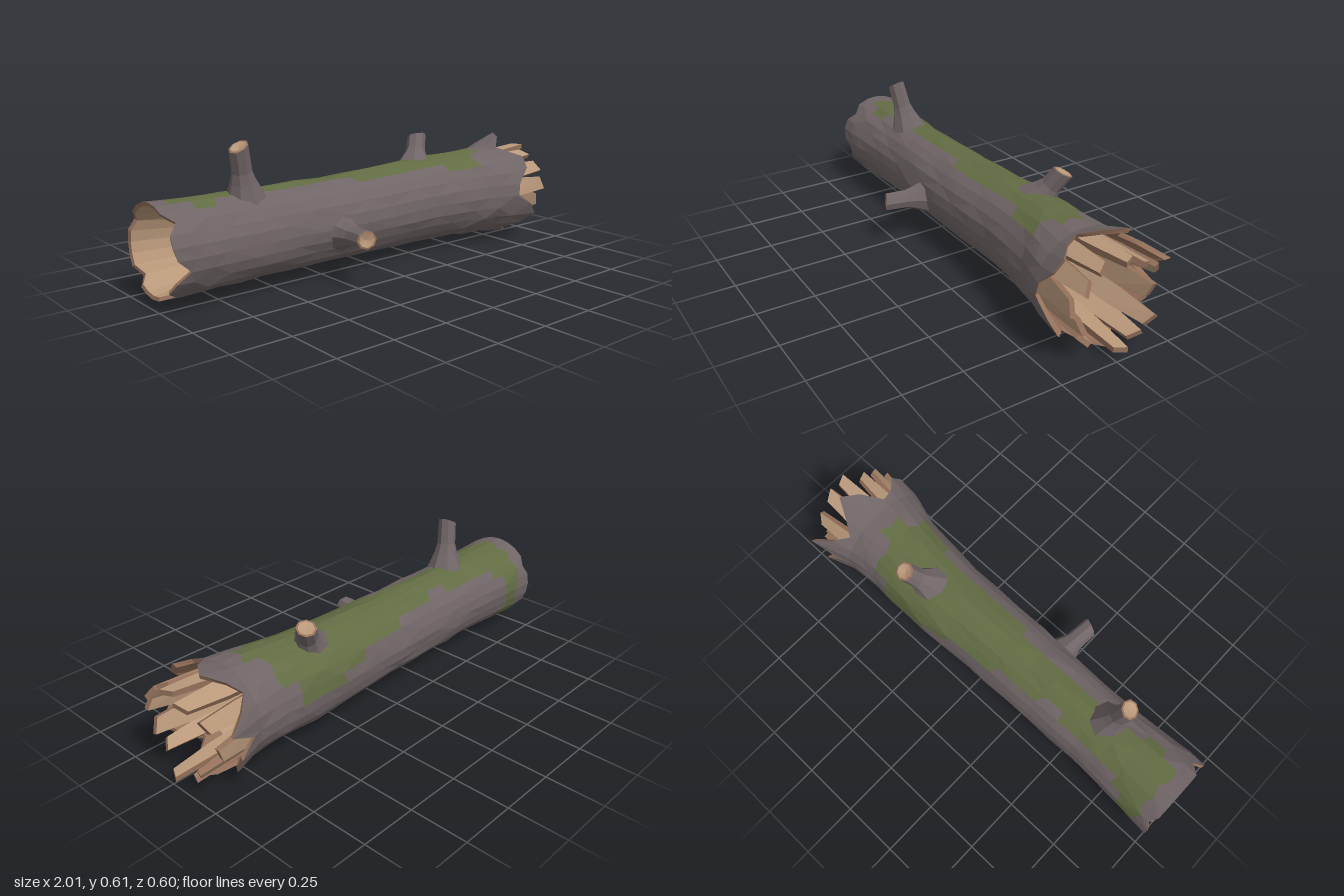
import * as THREE from 'three';

const mat = (name, color, extra = {}) => {
  const m = new THREE.MeshStandardMaterial({ color, flatShading: true, ...extra });
  m.name = name;
  return m;
};

const SIDES = 24;

// Log outline: x, top, bottom, back, front
const OUTLINE = [
  [-1, 0.42, 0.04, -0.24, 0.145], [-0.6, 0.405, 0.045, -0.208, 0.125],
  [0, 0.41, 0.045, -0.217, 0.13], [0.35, 0.425, 0.04, -0.238, 0.13],
  [0.6, 0.435, 0.03, -0.225, 0.16], [0.76, 0.44, 0.025, -0.24, 0.205],
  [0.92, 0.495, 0.0, -0.3, 0.235],
];

// Bark stations with the mossy angle range (degrees from the top, + toward the front)
// of the strip that starts there
const STATIONS = [
  [-0.92, -210, 20], [-0.84, -60, 30], [-0.76, -45, 15], [-0.66, -45, 0],
  [-0.56, -45, 15], [-0.45, -30, 15], [-0.33, -45, 15], [-0.2, -45, 20],
  [-0.08, -60, 30], [0.05, -60, 30], [0.18, -75, 30], [0.3, -90, 30],
  [0.42, -90, 45], [0.52, -60, 45], [0.6, -15, 15], [0.68, 0, 0], [0.75, 0, 0],
];

// Ragged ends: x of each bark edge point, counted from the top toward the front
const BROKEN_END = [
  0.86, 0.78, 0.80, 0.85, 0.84, 0.78, 0.77, 0.85, 0.90, 0.85, 0.78, 0.86,
  0.91, 0.86, 0.79, 0.85, 0.87, 0.88, 0.80, 0.93, 0.84, 0.78, 0.83, 0.91,
];
const LEFT_NOTCHES = { 3: -0.96, 6: -0.985, 7: -0.93, 8: -0.98, 10: -0.955, 15: -0.97, 20: -0.98 };

function seeded(seed) {
  return () => (seed = (seed * 16807) % 2147483647) / 2147483647;
}

function outlineAt(x) {
  let i = 0;
  while (i < OUTLINE.length - 2 && x > OUTLINE[i + 1][0]) i++;
  const a = OUTLINE[i], b = OUTLINE[i + 1];
  const t = Math.max(0, (x - a[0]) / (b[0] - a[0]));
  return a.map((v, k) => v + (b[k] - v) * t);
}

// Point on the log's skin, scaled toward its axis
function skinPoint(x, j, scale) {
  const [, top, bottom, back, front] = outlineAt(x);
  const a = (j / SIDES) * Math.PI * 2;
  return new THREE.Vector3(
    x,
    (top + bottom) / 2 + Math.cos(a) * scale * (top - bottom) / 2,
    (front + back) / 2 + Math.sin(a) * scale * (front - back) / 2
  );
}

function ring(xAt, scaleAt) {
  return Array.from({ length: SIDES }, (_, j) => skinPoint(xAt(j), j, scaleAt(j)));
}

function isMossy(j, lo, hi) {
  const mid = (j + 0.5) * 360 / SIDES;
  return [mid, mid - 360].some((d) => d > lo && d < hi);
}

// One continuous skin: left hollow, bark, right hollow; sorted into one mesh per colour
function buildTrunk(mats) {
  const rand = seeded(77);
  const rows = [];
  const add = (pts, pick) => rows.push({ pts, pick });
  const leftX = (j) => LEFT_NOTCHES[j] ?? -1;
  const fixed = (v) => () => v;

  add(ring(fixed(-0.6), fixed(0.001)), () => 'hollow');
  add(ring(fixed(-0.62), fixed(0.4)), () => 'hollow');
  add(ring(fixed(-0.7), fixed(0.72)), () => 'hollow');
  add(ring((j) => leftX(j) + 0.005, fixed(0.91)), () => 'brokenRims');
  add(ring(leftX, fixed(0.985)), () => 'bark');
  for (const [x, lo, hi] of STATIONS) {
    const pts = ring(
      () => x + (x < 0.7 ? (rand() - 0.5) * 0.04 : 0),
      () => 0.975 + rand() * 0.045
    );
    add(pts, (j) => (isMossy(j, lo, hi) ? 'moss' : 'bark'));
  }
  add(ring((j) => BROKEN_END[j], fixed(1)), () => 'brokenRims');
  add(ring((j) => BROKEN_END[j] - 0.008, fixed(0.92)), () => 'brokenRims');
  add(ring(fixed(0.72), fixed(0.87)), () => 'hollow');
  add(ring(fixed(0.55), fixed(0.72)), () => 'hollow');
  add(ring(fixed(0.48), fixed(0.38)), () => 'hollow');
  add(ring(fixed(0.47), fixed(0.001)), () => 'hollow');

  const tris = { bark: [], moss: [], hollow: [], brokenRims: [] };
  for (let i = 0; i < rows.length - 1; i++) {
    for (let j = 0; j < SIDES; j++) {
      const k = (j + 1) % SIDES;
      const a = rows[i].pts[j], d = rows[i].pts[k];
      const b = rows[i + 1].pts[j], c = rows[i + 1].pts[k];
      tris[rows[i].pick(j)].push(...((i + j) % 2 ? [a, d, c, a, c, b] : [a, d, b, d, c, b]));
    }
  }
  const trunk = new THREE.Group();
  trunk.name = 'trunk';
  for (const [name, pts] of Object.entries(tris)) {
    const geo = new THREE.BufferGeometry().setFromPoints(pts);
    geo.computeVertexNormals();
    const mesh = new THREE.Mesh(geo, mats[name]);
    mesh.name = name;
    trunk.add(mesh);
  }
  return trunk;
}

// Broken branch: flared bark stub with a cut wooden end
function buildBranch(name, from, to, radius, mats) {
  const a = new THREE.Vector3(...from), b = new THREE.Vector3(...to);
  const len = a.distanceTo(b);
  const lathe = (pts, m, part) => {
    const geo = new THREE.LatheGeometry(pts.map(([r, y]) => new THREE.Vector2(r, y)), 8);
    const p = geo.attributes.position;
    // slant the cut end a little
    for (let i = 0; i < p.count; i++) {
      if (p.getY(i) > len * 0.85) p.setY(i, p.getY(i) + p.getX(i) * 0.3);
    }
    geo.computeVertexNormals();
    const mesh = new THREE.Mesh(geo, m);
    mesh.name = part;
    return mesh;
  };
  const g = new THREE.Group();
  g.name = name;
  g.add(
    lathe([[radius * 2.2, 0], [radius * 1.35, len * 0.36], [radius * 1.05, len * 0.55], [radius, len]], mats.bark, 'branchBark'),
    lathe([[radius, len], [radius * 0.8, len + 0.002]], mats.brokenRims, 'branchRim'),
    lathe([[radius * 0.8, len + 0.002], [0, len - 0.008]], mats.hollow, 'branchEnd')
  );
  g.position.copy(a);
  g.quaternion.setFromUnitVectors(new THREE.Vector3(0, 1, 0), b.sub(a).normalize());
  return g;
}

// Splinter of inner wood, leaning outward and tapering to a blunt tip
function buildSplinter(angle, tipX, width, tipR, mats) {
  const geo = new THREE.BoxGeometry(1, 1, 1, 2, 1, 1);
  const p = geo.attributes.position;
  for (let i = 0; i < p.count; i++) {
    const t = p.getX(i) + 0.5;
    const w = width * (t > 0.9 ? 0.68 : 1);
    const thick = 0.034 - 0.012 * t;
    p.setXYZ(i, 0.62 + (tipX - 0.62) * t + (t > 0.9 ? p.getZ(i) * 0.025 : 0),
      0.15 + (tipR - 0.15) * t + p.getY(i) * thick, p.getZ(i) * w);
  }
  geo.computeVertexNormals();
  const { hollow: wood, brokenRims: dark } = mats;
  const mesh = new THREE.Mesh(geo, [dark, wood, wood, wood, dark, dark]);
  mesh.name = 'splinter';
  mesh.position.set(0, 0.23, -0.02);
  mesh.rotation.x = THREE.MathUtils.degToRad(angle);
  return mesh;
}

export function createModel() {
  const mats = {
    bark: mat('bark', 0x706566),
    moss: mat('moss', 0x626c43),
    hollow: mat('pale wood', 0xb9987a),
    brokenRims: mat('dark wood', 0x94705a),
  };
  const model = new THREE.Group();
  model.name = 'hollowLog';
  model.add(buildTrunk(mats));

  model.add(
    buildBranch('topBranch', [-0.595, 0.37, -0.025], [-0.645, 0.592, 0.012], 0.04, mats),
    buildBranch('backBranch', [0.365, 0.37, -0.09], [0.44, 0.508, -0.158], 0.042, mats),
    buildBranch('frontBranch', [-0.22, 0.2, 0.08], [-0.24, 0.21, 0.29], 0.04, mats)
  );

  // Splinters: angle from the top, tip x, width, tip radius
  const splinters = new THREE.Group();
  splinters.name = 'splinters';
  for (const s of [
    [0, 1.0, 0.07, 0.185], [27, 0.96, 0.07, 0.18], [55, 0.97, 0.08, 0.185],
    [80, 0.95, 0.09, 0.205], [107, 0.96, 0.09, 0.17], [135, 0.94, 0.07, 0.185],
    [178, 1.0, 0.07, 0.18], [207, 0.97, 0.08, 0.185], [232, 0.99, 0.08, 0.175],
    [262, 0.93, 0.09, 0.19], [300, 0.97, 0.08, 0.19], [333, 1.0, 0.08, 0.17],
  ]) splinters.add(buildSplinter(...s, mats));
  model.add(splinters);
  return model;
}
